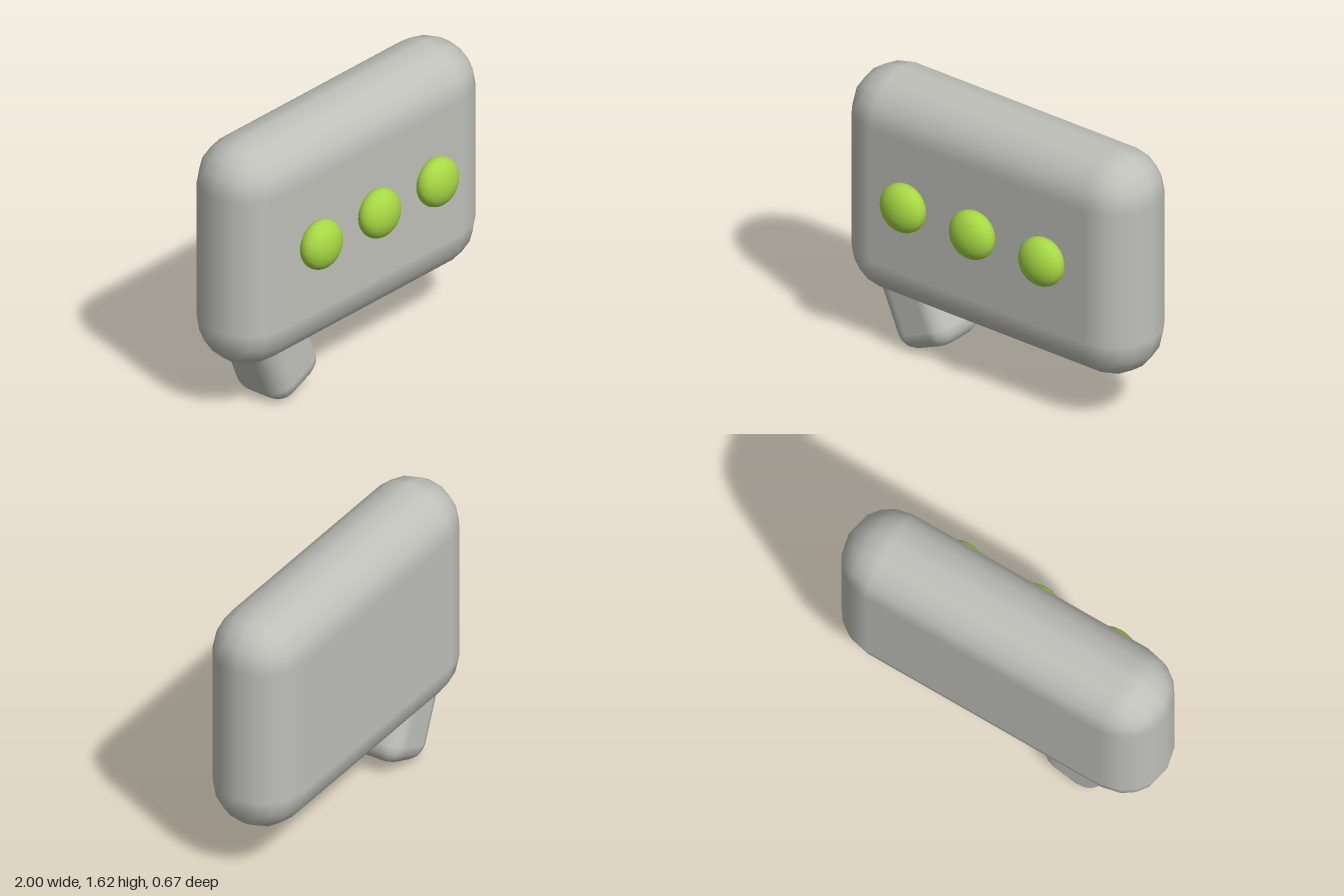
import * as THREE from 'three';
import { RoundedBoxGeometry } from 'three/addons/geometries/RoundedBoxGeometry.js';

export function createModel() {
  const group = new THREE.Group();
  const grey = new THREE.MeshStandardMaterial({ color: 0xbfc0ba });
  grey.name = 'light grey';
  const green = new THREE.MeshStandardMaterial({ color: 0xa6d843 });
  green.name = 'lime green';

  const add = (name, geometry, material, x, y, z) => {
    const mesh = new THREE.Mesh(geometry, material);
    mesh.name = name;
    mesh.position.set(x, y, z);
    group.add(mesh);
    return mesh;
  };

  // Speech bubble body, rounded over its whole depth
  add('bubbleBody', new RoundedBoxGeometry(2, 1.345, 0.535, 2, 0.2675), grey, 0, 0.9525, -0.067);

  // Tilted tail, sunk into the lower edge
  const tail = add('bubbleTail', new RoundedBoxGeometry(0.38, 0.5, 0.374, 2, 0.11), grey, -0.541, 0.273, -0.071);
  tail.rotation.z = 0.4;

  // Three flattened dots on the front
  const dotGeometry = new THREE.SphereGeometry(0.142, 32, 24);
  ['rightDot', 'middleDot', 'leftDot'].forEach((name, i) => {
    const dot = add(name, dotGeometry, green, (i - 1) * 0.475, 0.977, 0.241);
    dot.scale.z = 0.65;
  });

  return group;
}
